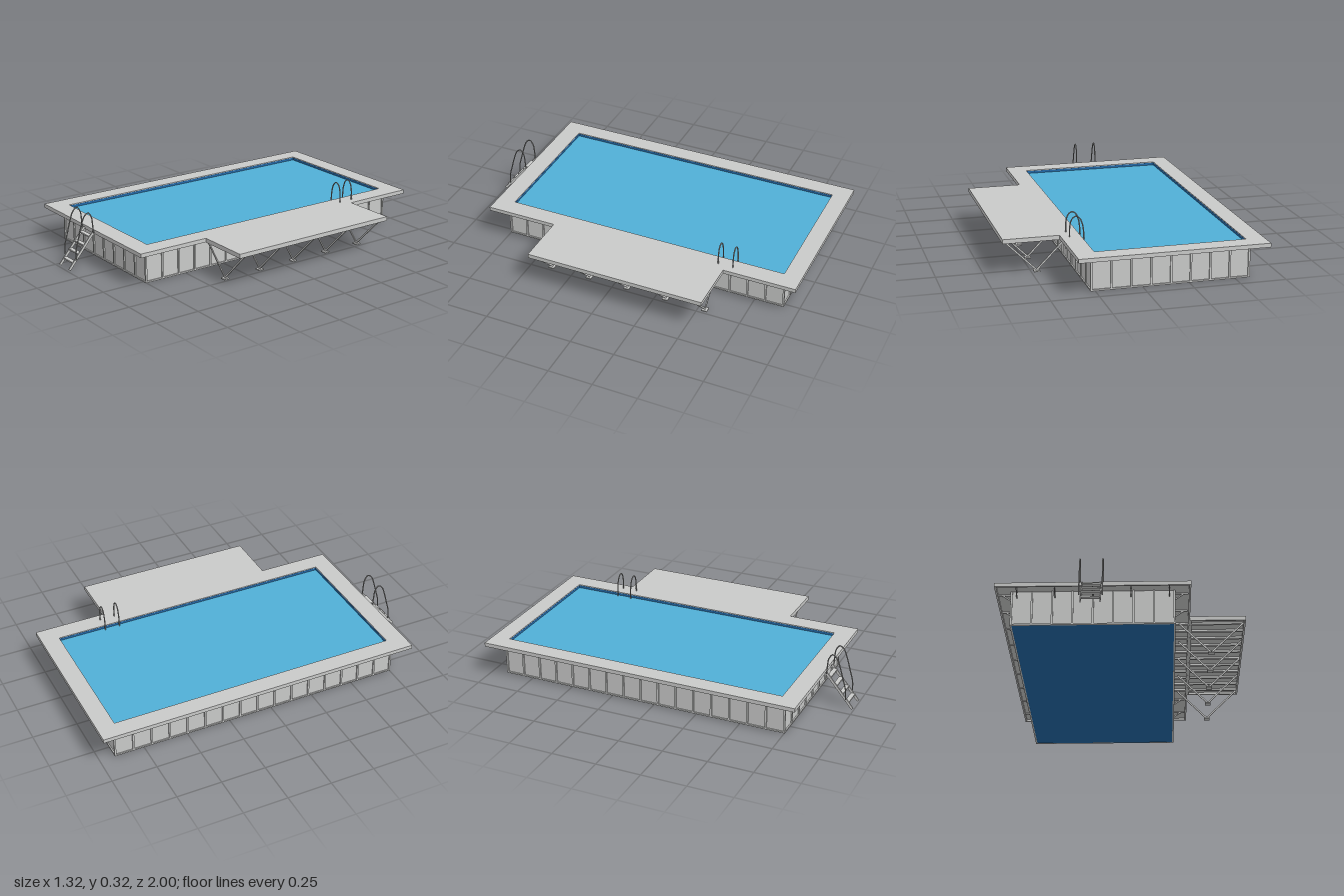
import * as THREE from 'three';

const mat = (name, color) => {
  const m = new THREE.MeshStandardMaterial({ color });
  m.name = name;
  return m;
};

export function createModel() {
  const root = new THREE.Group();
  root.name = 'raisedPool';
  const grey = mat('greyPanel', 0xc9cac9);
  const water = mat('waterBlue', 0x51afd7);
  const navy = mat('linerBlue', 0x2369a8);
  const steel = mat('railSteel', 0xa4a5a4);

  const add = (name, geo, material, parent = root) => {
    const mesh = new THREE.Mesh(geo, material);
    mesh.name = name;
    parent.add(mesh);
    return mesh;
  };
  const group = (name) => {
    const g = new THREE.Group();
    g.name = name;
    root.add(g);
    return g;
  };
  // Box given by its extents
  const block = (name, x0, x1, y0, y1, z0, z1, material, parent) =>
    add(name, new THREE.BoxGeometry(x1 - x0, y1 - y0, z1 - z0), material, parent)
      .position.set((x0 + x1) / 2, (y0 + y1) / 2, (z0 + z1) / 2);
  // Square bar between two points
  const bar = (name, a, b, w, h, material, parent) => {
    const p = new THREE.Vector3(...a), q = new THREE.Vector3(...b);
    const mesh = add(name, new THREE.BoxGeometry(w, h, p.distanceTo(q)), material, parent);
    mesh.position.copy(p).add(q).multiplyScalar(0.5);
    mesh.lookAt(q);
  };
  // Flat rectangular ring; rectangles are [x0, x1, z0, z1]
  const trace = (path, [x0, x1, z0, z1]) => {
    path.moveTo(x0, z0);
    path.lineTo(x1, z0);
    path.lineTo(x1, z1);
    path.lineTo(x0, z1);
    path.closePath();
    return path;
  };
  const ring = (name, outer, inner, y0, y1, material) => {
    const shape = trace(new THREE.Shape(), outer);
    shape.holes.push(trace(new THREE.Path(), inner));
    const geo = new THREE.ExtrudeGeometry(shape, { depth: y1 - y0, bevelEnabled: false });
    geo.rotateX(Math.PI / 2).translate(0, y1, 0);
    return add(name, geo, material);
  };
  const inset = ([x0, x1, z0, z1], d) => [x0 + d, x1 - d, z0 + d, z1 - d];
  const tube = (name, points, parent) => {
    const curve = new THREE.CatmullRomCurve3(points.map((p) => new THREE.Vector3(...p)));
    add(name, new THREE.TubeGeometry(curve, 32, 0.0035, 8), steel, parent);
  };

  const deck = [-0.66, 0.357, -1, 0.832];
  const hole = [-0.56, 0.252, -0.9, 0.727];
  const wall = [-0.574, 0.268, -0.909, 0.746];
  const body = inset(wall, -0.007);
  const platform = [0.357, 0.66, -0.592, 0.423];

  // Basin: walls, rails, floor, liner and water
  ring('basinWall', wall, hole, 0.004, 0.195, grey);
  ring('bottomRail', body, inset(wall, 0.002), 0, 0.008, grey);
  block('basinFloor', wall[0], wall[1], 0.001, 0.006, wall[2], wall[3], navy);
  ring('poolLiner', hole, inset(hole, 0.001), 0.006, 0.2, navy);
  block('waterSurface', hole[0], hole[1], 0.182, 0.186, hole[2], hole[3], water);

  // Upright ribs on all four walls
  const ribs = group('wallRibs');
  const w = 0.005;
  for (let i = 0; i <= 8; i++) {
    const x = THREE.MathUtils.lerp(body[0] + w, body[1] - w, i / 8);
    block('frontRib', x - w, x + w, 0, 0.195, wall[3], body[3], grey, ribs);
    block('backRib', x - w, x + w, 0, 0.195, body[2], wall[2], grey, ribs);
  }
  for (let i = 0; i <= 16; i++) {
    const z = THREE.MathUtils.lerp(body[2] + w, body[3] - w, i / 16);
    block('leftRib', wall[1], body[1], 0, 0.195, z - w, z + w, grey, ribs);
    block('rightRib', body[0], wall[0], 0, 0.195, z - w, z + w, grey, ribs);
  }

  // Walkway and its edge frame
  ring('walkway', deck, hole, 0.195, 0.205, grey);
  ring('walkwayFrame', deck, inset(deck, 0.01), 0.183, 0.195, grey);

  // Side platform with frame and joists
  block('platform', platform[0], platform[1], 0.195, 0.205, platform[2], platform[3], grey);
  ring('platformFrame', platform, inset(platform, 0.01), 0.181, 0.195, grey);
  const joists = group('platformJoists');
  for (let i = 0; i < 11; i++) {
    const z = THREE.MathUtils.lerp(platform[2] + 0.06, platform[3] - 0.06, i / 10);
    block('joist', body[1], 0.65, 0.184, 0.195, z - 0.008, z + 0.008, grey, joists);
  }

  // V-shaped platform supports on foot plates
  const supports = group('platformSupports');
  for (let i = 0; i < 5; i++) {
    const z = 0.38 - i * 0.23;
    bar('innerStrut', [0.298, 0.184, z], [0.47, 0.008, z], 0.006, 0.009, grey, supports);
    bar('outerStrut', [0.47, 0.008, z], [0.648, 0.184, z], 0.006, 0.009, grey, supports);
    block('footPlate', 0.454, 0.487, 0, 0.007, z - 0.016, z + 0.016, grey, supports);
  }

  // Small braces under the overhang
  const braces = group('walkwayBraces');
  const brace = (x, z, dx, dz) => {
    bar('brace', [x, 0.157, z], [x + dx * 0.05, 0.192, z + dz * 0.05], 0.005, 0.007, grey, braces);
    bar('braceArm', [x, 0.19, z], [x + dx * 0.068, 0.19, z + dz * 0.068], 0.005, 0.007, grey, braces);
  };
  for (let i = 0; i < 5; i++) {
    const x = -0.548 + i * 0.198;
    brace(x, body[3], 0, 1);
    brace(x, body[2], 0, -1);
  }
  for (let i = 0; i < 9; i++) {
    const z = 0.719 - i * 0.2;
    brace(body[0], z, -1, 0);
    if (z > platform[3] || z < platform[2]) brace(body[1], z, 1, 0);
  }

  // Sloping entry ladder with treads and curved handrails
  const ladder = group('entryLadder');
  for (const side of [-1, 1]) {
    const x = -0.155 + side * 0.05;
    bar('stringer', [x, 0.197, 0.838], [x, 0.01, 0.995], 0.006, 0.014, grey, ladder);
    const r = -0.155 + side * 0.059;
    tube('handrail', [[r, 0.062, 0.957], [r, 0.12, 0.954], [r, 0.18, 0.938], [r, 0.24, 0.921],
      [r, 0.295, 0.9], [r, 0.314, 0.875], [r, 0.285, 0.854], [r, 0.24, 0.848], [r, 0.195, 0.845]], ladder);
  }
  for (const y of [0.047, 0.09, 0.132, 0.175]) {
    const z = 0.842 + (0.195 - y) * 0.83;
    block('tread', -0.205, -0.105, y - 0.004, y + 0.004, z - 0.012, z + 0.012, grey, ladder);
  }

  // Arched grab rails at the pool edge
  const rails = group('poolGrabRails');
  for (const z of [-0.631, -0.546]) {
    tube('grabRail', [[0.237, 0.17, z], [0.237, 0.22, z], [0.244, 0.27, z], [0.26, 0.304, z],
      [0.28, 0.314, z], [0.3, 0.3, z], [0.311, 0.265, z], [0.313, 0.2, z]], rails);
  }
  return root;
}
